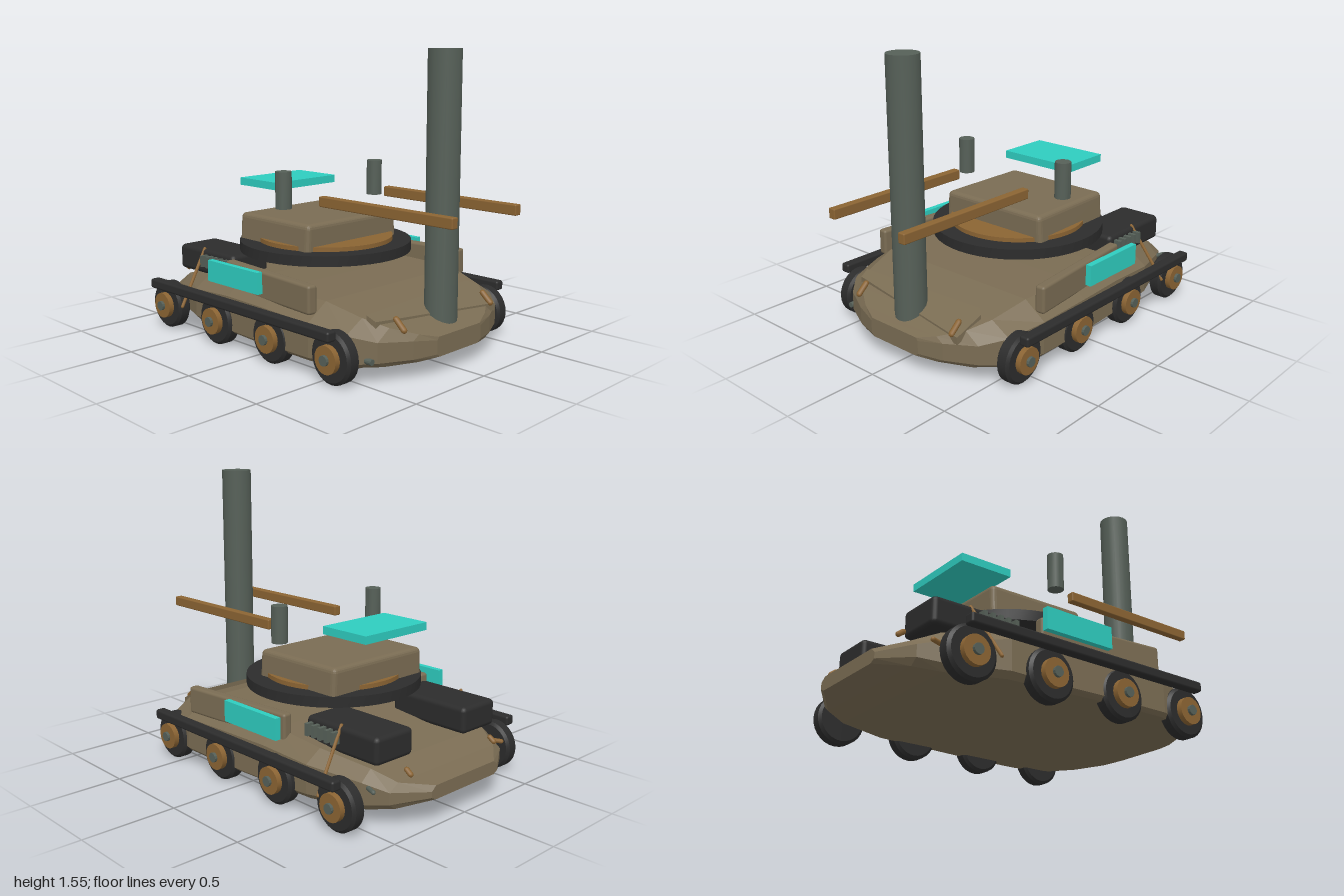
import * as THREE from 'three';
import { RoundedBoxGeometry } from 'three/addons/geometries/RoundedBoxGeometry.js';
import { toCreasedNormals } from 'three/addons/utils/BufferGeometryUtils.js';

const paint = (name, color) => {
  const m = new THREE.MeshStandardMaterial({ color });
  m.name = name;
  return m;
};

export function createModel() {
  const tan = paint('tan armour', 0x7a6c53);
  const brown = paint('brown fittings', 0x8b6433);
  const dark = paint('dark rubber', 0x2c2c2c);
  const grey = paint('grey metal', 0x566058);
  const cyan = paint('cyan panel', 0x2eccbf);

  const model = new THREE.Group();
  model.name = 'armouredVehicle';

  const add = (name, geo, mat, x = 0, y = 0, z = 0) => {
    const mesh = new THREE.Mesh(geo, mat);
    mesh.name = name;
    mesh.position.set(x, y, z);
    model.add(mesh);
    return mesh;
  };
  // Box given by its limits, with optional rounded edges
  const box = (name, mat, [x0, x1], [y0, y1], [z0, z1], r = 0) => {
    const s = [x1 - x0, y1 - y0, z1 - z0];
    const geo = r ? new RoundedBoxGeometry(...s, 2, r) : new THREE.BoxGeometry(...s);
    return add(name, geo, mat, (x0 + x1) / 2, (y0 + y1) / 2, (z0 + z1) / 2);
  };
  const creased = (geo) => toCreasedNormals(geo, 0.5);
  const cyl = (name, mat, r, h, x, y, z, n = 16) =>
    add(name, creased(new THREE.CylinderGeometry(r, r, h, n)), mat, x, y, z);
  // Rod between two points
  const rod = (name, mat, r, a, b) => {
    const p = new THREE.Vector3(...a), q = new THREE.Vector3(...b);
    const d = q.clone().sub(p);
    const mesh = add(name, new THREE.CapsuleGeometry(r, d.length(), 3, 8), mat);
    mesh.position.copy(p).add(q).multiplyScalar(0.5);
    mesh.quaternion.setFromUnitVectors(new THREE.Vector3(0, 1, 0), d.normalize());
    return mesh;
  };

  // Hull: sections from rear to front
  // [z, floor half width, floor y, belt half width, belt low y, belt high y, deck half width, deck y]
  const sections = [
    [-1.0, 0.22, 0.135, 0.25, 0.15, 0.18, 0.22, 0.205],
    [-0.89, 0.38, 0.1, 0.42, 0.13, 0.19, 0.36, 0.225],
    [-0.77, 0.45, 0.08, 0.48, 0.11, 0.22, 0.42, 0.275],
    [-0.5, 0.55, 0.08, 0.58, 0.11, 0.26, 0.49, 0.32],
    [-0.2, 0.57, 0.08, 0.598, 0.1, 0.28, 0.5, 0.35],
    [0.1, 0.59, 0.08, 0.612, 0.1, 0.28, 0.5, 0.36],
    [0.42, 0.59, 0.08, 0.61, 0.1, 0.27, 0.49, 0.355],
    [0.62, 0.53, 0.08, 0.56, 0.1, 0.24, 0.45, 0.305],
    [0.73, 0.42, 0.085, 0.46, 0.11, 0.21, 0.38, 0.265],
    [0.81, 0.26, 0.09, 0.3, 0.11, 0.2, 0.26, 0.225],
    [0.85, 0.15, 0.1, 0.17, 0.115, 0.185, 0.16, 0.2],
  ];
  const rings = sections.map(([z, wb, yb, wm, yl, yh, wt, yt]) => {
    const half = [[wb, yb], [wm, yl], [wm, yh], [wt, yt]];
    const mirrored = half.map(([x, y]) => [-x, y]).reverse();
    return [...half, ...mirrored].map(([x, y]) => [x, y, z]);
  });
  const pos = [];
  const tri = (...pts) => pts.forEach((p) => pos.push(...p));
  for (let i = 0; i < rings.length - 1; i++) {
    for (let k = 0; k < 8; k++) {
      const n = (k + 1) % 8, r = rings[i], f = rings[i + 1];
      tri(r[k], r[n], f[n]);
      tri(r[k], f[n], f[k]);
    }
  }
  const rear = rings[0], nose = rings[rings.length - 1];
  for (let k = 1; k < 7; k++) {
    tri(nose[0], nose[k], nose[k + 1]);
    tri(rear[0], rear[k + 1], rear[k]);
  }
  const hull = new THREE.BufferGeometry();
  hull.setAttribute('position', new THREE.Float32BufferAttribute(pos, 3));
  hull.computeVertexNormals();
  add('hull', hull, tan);

  // Splash plate lying on the sloping bow
  const plate = new THREE.Shape();
  plate.moveTo(-0.44, 0.64);
  plate.lineTo(0.36, 0.61);
  plate.lineTo(0.395, 0.64);
  plate.lineTo(0.375, 0.785);
  plate.lineTo(-0.43, 0.69);
  const plateGeo = new THREE.ExtrudeGeometry(plate, { depth: 0.04, bevelEnabled: false });
  plateGeo.rotateX(Math.PI / 2);
  const pp = plateGeo.attributes.position;
  for (let i = 0; i < pp.count; i++) {
    pp.setY(i, pp.getY(i) + 0.33 - 0.5 * (pp.getZ(i) - 0.62));
  }
  plateGeo.computeVertexNormals();
  add('splashPlate', plateGeo, tan);

  // Wheel tyre profile: radius, then offset along the axle
  const tyre = creased(new THREE.LatheGeometry([
    [0, -0.038], [0.115, -0.038], [0.13, -0.025], [0.13, 0.025], [0.115, 0.038], [0, 0.038],
  ].map(([x, y]) => new THREE.Vector2(x, y)), 28));

  for (const s of [1, -1]) {
    const sx = (a, b) => (s > 0 ? [a, b] : [-b, -a]);

    // Wheels with hubs and caps
    for (const z of [0.57, 0.14, -0.295, -0.73]) {
      add('tyre', tyre, dark, s * 0.578, 0.133, z).rotation.z = Math.PI / 2;
      cyl('wheelHub', brown, 0.07, 0.06, s * 0.615, 0.133, z, 20).rotation.z = Math.PI / 2;
      cyl('hubCap', grey, 0.026, 0.06, s * 0.63, 0.133, z, 12).rotation.z = Math.PI / 2;
    }
    box('sideRail', dark, sx(0.624, 0.68), [0.232, 0.284], [-0.785, 0.625], 0.012);

    // Side armour, angled along the deck edge
    const armour = box('sideArmour', tan, [-0.028, 0.028], [0.3, 0.445], [-0.355, 0.355], 0.015);
    armour.position.set(s * 0.54, 0.373, 0.062);
    armour.rotation.y = s * 0.09;
    box('sidePanel', cyan, sx(0.592, 0.624), [0.343, 0.455], [-0.33, 0.07]);

    // Engine housings and cooling slats
    box('engineHousing', dark, sx(0.19, 0.443), [0.3, 0.44], [-0.83, -0.35], 0.025);
    for (let i = 0; i < 5; i++) {
      const z = -0.395 - i * 0.045;
      box('coolingSlat', grey, sx(0.44, 0.485), [0.352, 0.415], [z - 0.01, z + 0.01]);
    }

    // Floating rails and posts
    box('forwardBar', brown, sx(0.225, 0.268), [0.752, 0.806], [0.14, 1.0], 0.006);
    cyl('turretPost', grey, 0.043, 0.195, s * 0.345, 0.828, -0.042, 14);

    // Hooks, lamps and rear stays
    rod('bowHook', brown, 0.015, [s * 0.338, 0.3, 0.735], [s * 0.338, 0.255, 0.785]);
    rod('rearLamp', brown, 0.013, [s * 0.315, 0.28, -0.9], [s * 0.315, 0.262, -0.925]);
    rod('rearStay', brown, 0.009, [s * 0.425, 0.44, -0.6 + s * 0.02], [s * 0.615, 0.15, -0.6 - s * 0.02]);
    rod('rearPeg', s > 0 ? grey : brown, 0.012, [s * 0.465, 0.2, -0.8], [s * 0.485, 0.2, -0.85]);
  }

  // Turret on its ring
  cyl('turretRing', dark, 0.47, 0.055, 0, 0.493, -0.085, 48);
  cyl('turretPlate', brown, 0.37, 0.025, 0, 0.531, -0.085, 48);
  const body = new RoundedBoxGeometry(0.69, 0.205, 0.555, 2, 0.025);
  const bp = body.attributes.position;
  for (let i = 0; i < bp.count; i++) {
    // walls lean inward toward the top and the back
    const lean = 1 - 0.04 * (bp.getY(i) / 0.205 + 0.5);
    const taper = bp.getZ(i) < -0.2 ? 0.97 : 1;
    bp.setX(i, bp.getX(i) * lean * taper);
  }
  body.computeVertexNormals();
  add('turret', body, tan, 0, 0.558, -0.147);
  box('roofPanel', cyan, [-0.225, 0.225], [0.79, 0.832], [-0.54, -0.24]);

  // Mast on the bow
  cyl('mast', grey, 0.083, 1.33, 0, 0.89, 0.73, 16);

  // Small prongs beneath the turret and a nub on the bow
  for (let i = 0; i < 4; i++) {
    rod('prong', brown, 0.004, [0.15, 0.408 + i * 0.011, 0.05], [0.23 + (i % 2) * 0.05, 0.41 + i * 0.009, 0.05]);
  }
  cyl('bowNub', grey, 0.015, 0.04, -0.49, 0.122, 0.705, 12).rotation.x = Math.PI / 2;

  return model;
}
